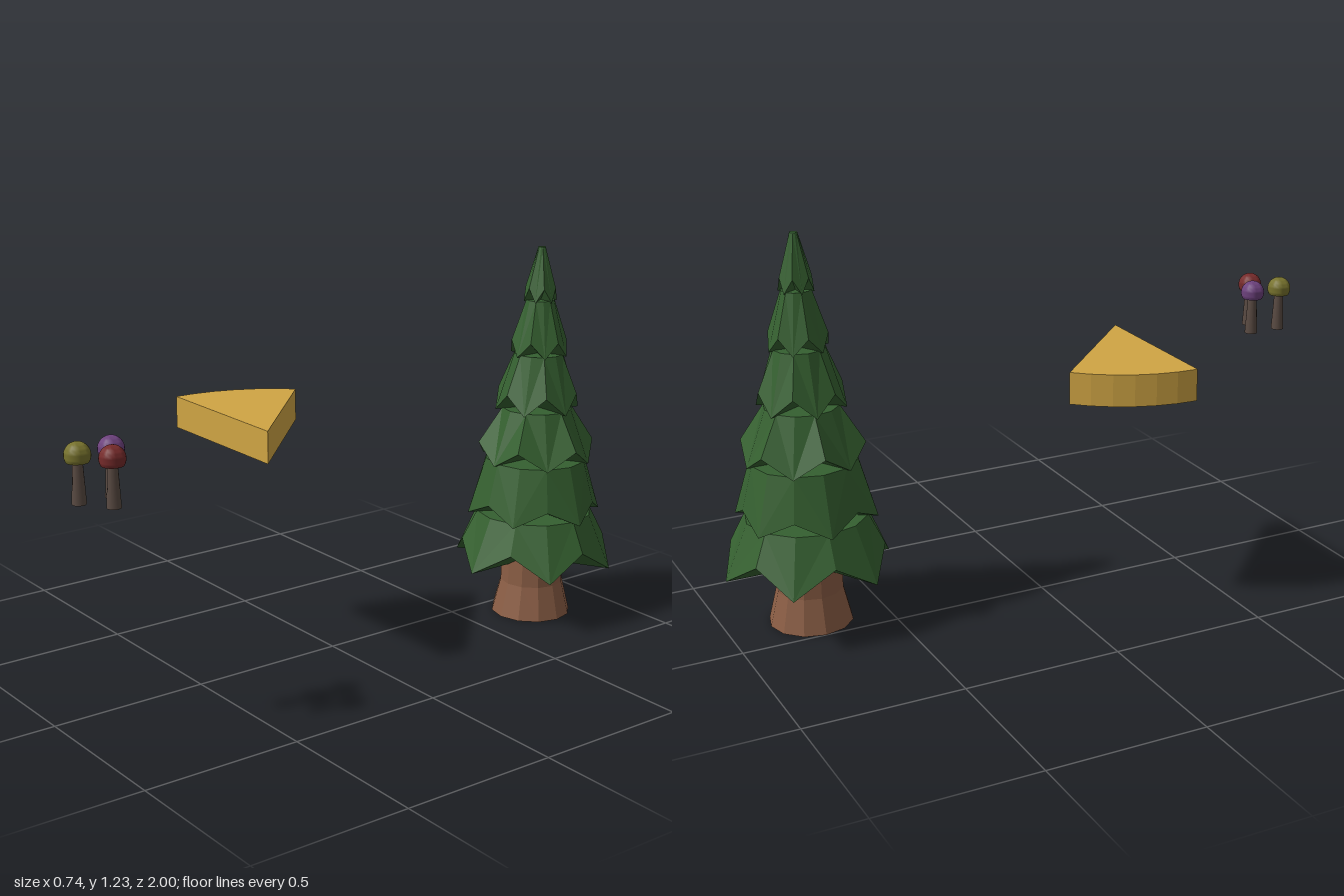
import * as THREE from 'three';
import { toCreasedNormals } from 'three/addons/utils/BufferGeometryUtils.js';

const paint = (color, flatShading = false) => new THREE.MeshStandardMaterial({ color, flatShading });

function part(name, geometry, material, x = 0, y = 0, z = 0) {
  const mesh = new THREE.Mesh(geometry, material);
  mesh.name = name;
  mesh.position.set(x, y, z);
  return mesh;
}

// One skirt of branches: a 12-sided cone whose rim alternates drooping tips and raised notches
function tierGeometry({ y, notchY, tipR, notchR, topY, topR }, turn) {
  const n = 12, pos = [];
  const at = (r, h, i) => {
    const a = (i / n) * Math.PI * 2 + turn;
    return [r * Math.sin(a), h, r * Math.cos(a)];
  };
  const rim = i => (i % 2 ? at(notchR, notchY, i) : at(tipR, y, i));
  for (let i = 0; i < n; i++) {
    const b0 = rim(i), b1 = rim(i + 1), t0 = at(topR, topY, i), t1 = at(topR, topY, i + 1);
    // split each side along the edge that starts at the drooping tip
    if (i % 2) pos.push(...b0, ...b1, ...t0, ...b1, ...t1, ...t0);
    else pos.push(...b0, ...b1, ...t1, ...b0, ...t1, ...t0);
    pos.push(0, y, 0, ...b1, ...b0);       // underside
    pos.push(0, topY, 0, ...t0, ...t1);    // top
  }
  const g = new THREE.BufferGeometry();
  g.setAttribute('position', new THREE.Float32BufferAttribute(pos, 3));
  g.computeVertexNormals();
  return g;
}

function createTree() {
  const tree = new THREE.Group();
  tree.name = 'pineTree';

  // Trunk flaring towards the ground
  const profile = [[0, 0], [0.131, 0], [0.104, 0.11], [0.102, 0.2], [0, 0.2]]
    .map(([r, y]) => new THREE.Vector2(r, y));
  tree.add(part('trunk', new THREE.LatheGeometry(profile, 12), paint(0x8b5e45, true)));

  // Branch skirts, each turned half a point from the one below
  const tiers = [
    { y: 0.18, notchY: 0.26, tipR: 0.265, notchR: 0.238, topY: 0.355, topR: 0.19 },
    { y: 0.35, notchY: 0.40, tipR: 0.22, notchR: 0.2, topY: 0.535, topR: 0.165 },
    { y: 0.53, notchY: 0.59, tipR: 0.18, notchR: 0.19, topY: 0.705, topR: 0.115 },
    { y: 0.70, notchY: 0.76, tipR: 0.137, notchR: 0.132, topY: 0.885, topR: 0.08 },
    { y: 0.88, notchY: 0.93, tipR: 0.093, notchR: 0.09, topY: 1.06, topR: 0.046 },
    { y: 1.055, notchY: 1.1, tipR: 0.054, notchR: 0.05, topY: 1.23, topR: 0.012 },
  ];
  const green = paint(0x356030, true);
  tiers.forEach((t, i) =>
    tree.add(part(`branchTier${i + 1}`, tierGeometry(t, (i % 2) * Math.PI / 6), green)));
  tree.position.set(0.13, 0, -0.735);
  return tree;
}

// Eighth-of-a-circle wedge with a faceted rind
function createWedge() {
  const shape = new THREE.Shape();
  const steps = 6, r = 0.5;
  shape.moveTo(0, 0);
  for (let i = 0; i <= steps; i++) {
    const a = Math.PI - (i / steps) * Math.PI / 4;
    shape.lineTo(r * Math.cos(a), r * Math.sin(a));
  }
  const g = new THREE.ExtrudeGeometry(shape, { depth: 0.1, bevelEnabled: false });
  g.rotateX(-Math.PI / 2);
  return part('cheeseWedge', g, paint(0xd0a544, true), 0.13, 0.7, 0.333);
}

function createMushroom(name, color, x, z) {
  const group = new THREE.Group();
  group.name = name;
  group.position.set(x, 0.7, z);
  const stem = new THREE.CylinderGeometry(0.014, 0.021, 0.125, 12);
  group.add(part('stem', stem, paint(0x594a42), 0, 0.0625, 0));
  // Ball cap cut flat underneath
  const r = 0.038, cut = 2.12, points = [new THREE.Vector2(0, r * Math.cos(cut))];
  for (let i = 12; i >= 0; i--) {
    const a = (cut * i) / 12;
    points.push(new THREE.Vector2(r * Math.sin(a), r * Math.cos(a)));
  }
  const cap = toCreasedNormals(new THREE.LatheGeometry(points, 24), 0.7);
  group.add(part('cap', cap, paint(color), 0, 0.14, 0));
  return group;
}

export function createModel() {
  const model = new THREE.Group();
  model.name = 'treeWedgeAndMushrooms';
  model.add(
    createTree(),
    createWedge(),
    createMushroom('oliveMushroom', 0x77722d, 0.13, 0.96),
    createMushroom('redMushroom', 0x752a2a, 0.215, 0.9),
    createMushroom('purpleMushroom', 0x6c417c, 0.13, 0.855),
  );
  return model;
}
